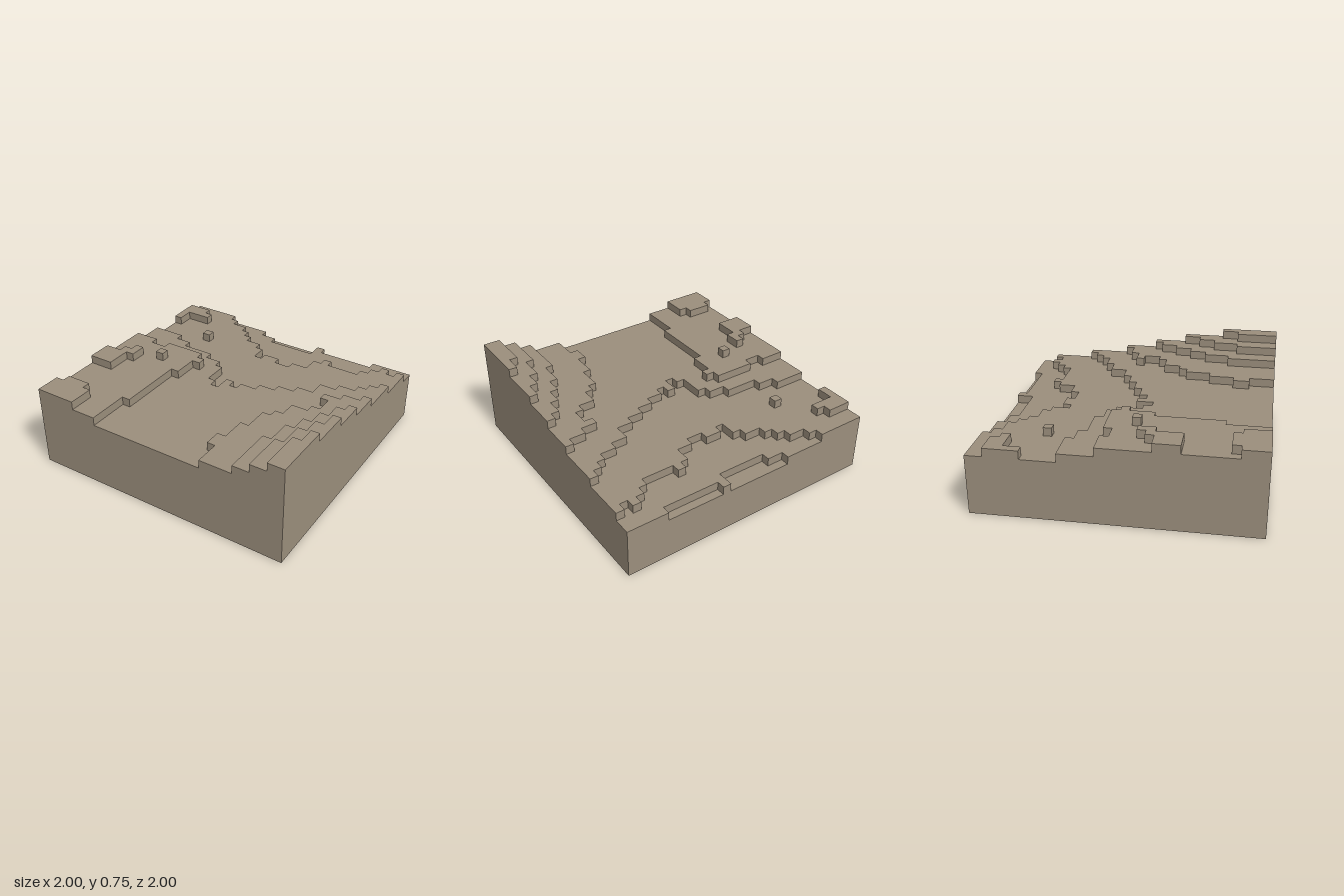
import * as THREE from 'three';

const N = 32;            // cells per side
const CELL = 2 / N;      // cell size, also the step height
const BASE = 7;          // height of the middle terrace, in steps

// Terrace edges: a line of [cell along the axis, edge across it], rounded to whole cells.
// Cells past the edge rise a step; cells before it ("before") sink a step.
const backHollow = { axis: 'x', before: true, line: [
  [6, 1], [12, 5.3], [14, 7.6], [16, 7], [18, 8.2], [20, 6.6], [22, 4.2], [23, 5], [26, 5], [29, 2], [30, 3], [31, 2]] };
const middleSlope = { axis: 'x', line: [
  [0, 9.6], [3, 10.4], [6, 11.6], [9, 12.3], [12, 14], [13, 17], [14, 18], [15, 16], [16, 17],
  [17, 16.3], [24, 12.6], [25, 11.3], [28, 9.6], [31, 7]] };
const westBank = { axis: 'z', before: true, rise: 1, line: [[14, 10], [15, 11], [16, 9.8], [31, 7.94]] };
const eastBank = { axis: 'z', line: [
  [12, 31], [14, 27], [15, 28], [16, 28], [18, 25.4], [20, 24], [21, 23.4], [28, 20.9], [29, 22], [31, 22]] };
const eastHill = { axis: 'z', line: [[16, 30.8], [23, 27.3], [26, 26.4], [31, 26]] };
const eastRidge = { axis: 'z', line: [[20, 30.9], [27, 28.4], [31, 28]] };
const eastPeak = { axis: 'z', line: [[25, 31], [27, 30], [31, 30]] };
const edges = [backHollow, middleSlope, westBank, eastBank, eastHill, eastRidge, eastPeak];

// Small rectangular patches: x from, x to, z from, z to
const mounds = [
  [0, 3, 2, 3], [0, 4, 3, 4], [0, 1, 4, 6],          // back corner knoll
  [0, 3, 20, 23], [2, 4, 19, 20], [3, 4, 18, 19],    // side knoll
  [0, 5, 29, 32], [1, 4, 28, 29],                    // front corner knoll
  [6, 7, 7, 8], [6, 7, 17, 18],                      // lone blocks
];
const dips = [
  [11, 19, 0, 1], [13, 19, 1, 2], [20, 27, 0, 1],    // back rim notches
  [3, 5, 14, 15],                                    // notch in the west bank
];

// Step that an edge adds to cell (i, j)
function edgeStep({ axis, before = false, rise = before ? -1 : 1, line }, i, j) {
  const [along, across] = axis === 'x' ? [i, j] : [j, i];
  const k = line.findIndex((p, n) => n > 0 && along >= line[n - 1][0] && along <= p[0]);
  if (k < 0) return 0;
  const [a, b] = [line[k - 1], line[k]];
  const edge = Math.round(a[1] + (b[1] - a[1]) * (along - a[0]) / (b[0] - a[0]));
  return (across < edge) === before ? rise : 0;
}

function heightAt(i, j) {
  if (i < 0 || j < 0 || i >= N || j >= N) return 0;
  const covers = ([x0, x1, z0, z1]) => i >= x0 && i < x1 && j >= z0 && j < z1;
  const slope = edges.reduce((sum, e) => sum + edgeStep(e, i, j), 0);
  return BASE + slope + mounds.filter(covers).length - dips.filter(covers).length;
}

function terrainGeometry() {
  const pos = [], nor = [];
  // Quad with corners counter-clockwise as seen from its front
  const quad = (a, b, c, d, n) => {
    for (const p of [a, b, c, a, c, d]) {
      pos.push(p[0] * CELL - 1, p[1] * CELL, p[2] * CELL - 1);
      nor.push(...n);
    }
  };

  for (let j = 0; j < N; j++) {
    for (let i = 0; i < N; i++) {
      const h = heightAt(i, j), I = i + 1, J = j + 1;
      // terrace top
      quad([i, h, J], [I, h, J], [I, h, j], [i, h, j], [0, 1, 0]);
      // walls down to each lower neighbour
      const walls = [
        [1, 0, [I, J], [I, j]], [-1, 0, [i, j], [i, J]],
        [0, 1, [i, J], [I, J]], [0, -1, [I, j], [i, j]],
      ];
      for (const [dx, dz, a, b] of walls) {
        const low = heightAt(i + dx, j + dz);
        if (low < h) {
          quad([a[0], low, a[1]], [b[0], low, b[1]], [b[0], h, b[1]], [a[0], h, a[1]], [dx, 0, dz]);
        }
      }
    }
  }
  // underside
  quad([0, 0, 0], [N, 0, 0], [N, 0, N], [0, 0, N], [0, -1, 0]);

  const g = new THREE.BufferGeometry();
  g.setAttribute('position', new THREE.Float32BufferAttribute(pos, 3));
  g.setAttribute('normal', new THREE.Float32BufferAttribute(nor, 3));
  return g;
}

export function createModel() {
  const earth = new THREE.MeshStandardMaterial({ color: 0x9b8e7c });
  earth.name = 'earth';
  const terrain = new THREE.Mesh(terrainGeometry(), earth);
  terrain.name = 'terracedTerrain';
  const group = new THREE.Group();
  group.name = 'terrainBlock';
  group.add(terrain);
  return group;
}
